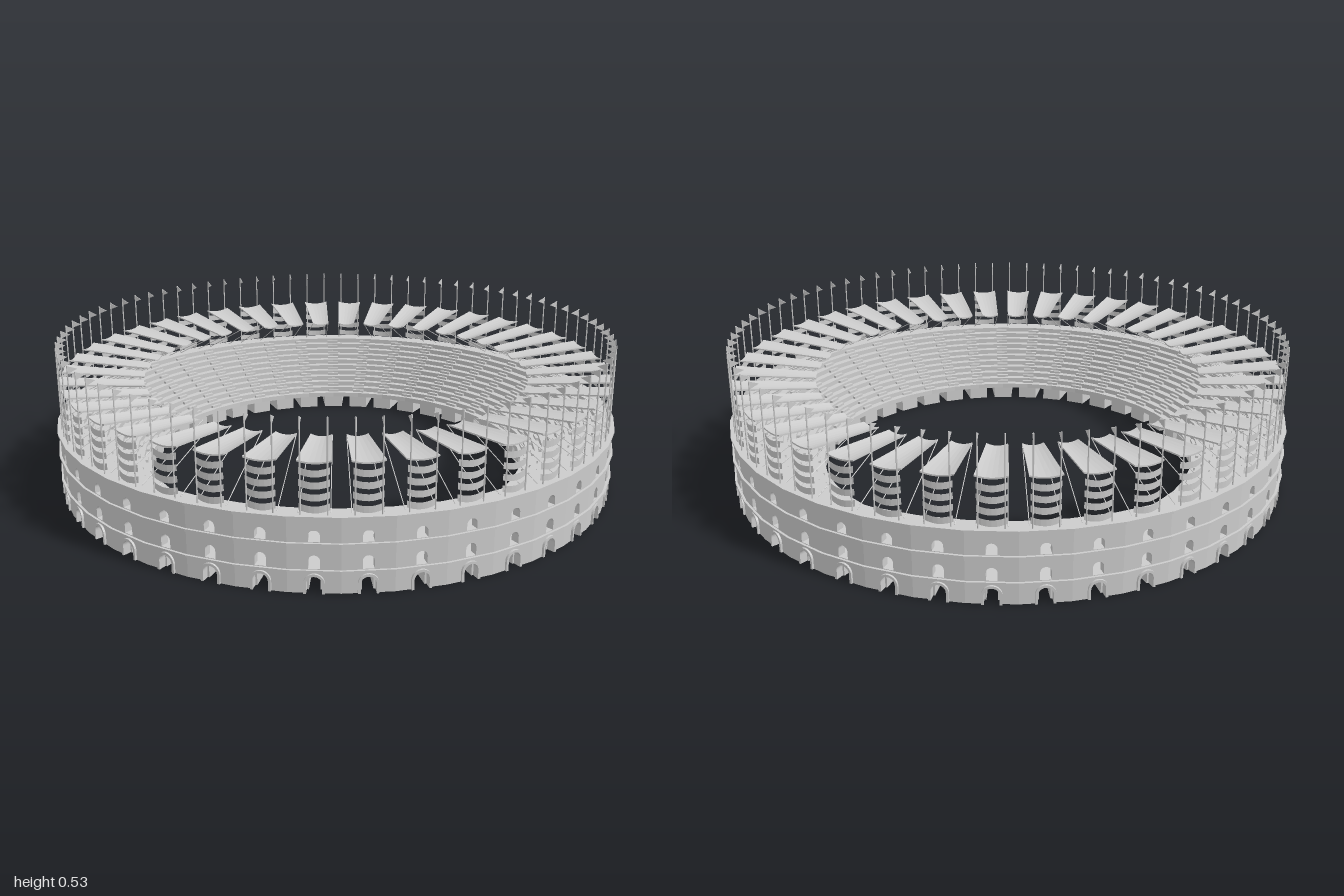
import * as THREE from 'three';
import { mergeGeometries } from 'three/addons/utils/BufferGeometryUtils.js';

const BAYS = 40;
const STEP = (Math.PI * 2) / BAYS;
const WALL_R = 0.987;   // distance of a facade panel from the centre
const WALL_H = 0.24;
const WALL_T = 0.03;
const INNER_R = 0.68;

// Outline of a round-headed opening, added to a shape or a path
function archOutline(path, w, y0, h) {
  const r = w / 2;
  path.moveTo(-r, y0);
  path.lineTo(r, y0);
  path.lineTo(r, y0 + h - r);
  path.absarc(0, y0 + h - r, r, 0, Math.PI, false);
  path.lineTo(-r, y0);
  return path;
}

// Extruded shape whose back face lies at z
function extrude(shape, depth, z) {
  return new THREE.ExtrudeGeometry(shape, { depth, bevelEnabled: false, curveSegments: 8 }).translate(0, 0, z);
}

function rod(a, b, r) {
  const dir = new THREE.Vector3().subVectors(b, a);
  const g = new THREE.CylinderGeometry(r, r, dir.length(), 5);
  g.applyQuaternion(new THREE.Quaternion().setFromUnitVectors(new THREE.Vector3(0, 1, 0), dir.normalize()));
  return g.translate((a.x + b.x) / 2, (a.y + b.y) / 2, (a.z + b.z) / 2);
}

// Move every vertex of a geometry by a rule
function warp(g, rule) {
  const p = g.attributes.position;
  const v = new THREE.Vector3();
  for (let i = 0; i < p.count; i++) {
    rule(v.fromBufferAttribute(p, i));
    p.setXYZ(i, v.x, v.y, v.z);
  }
  g.computeVertexNormals();
  return g;
}

export function createModel() {
  const model = new THREE.Group();
  const material = new THREE.MeshStandardMaterial({ color: 0xcccccc, flatShading: true, side: THREE.DoubleSide });

  function add(name, geometry) {
    const mesh = new THREE.Mesh(geometry, material);
    mesh.name = name;
    model.add(mesh);
  }

  // Repeat parts of one bay (outward is +z) all the way round
  function addRing(name, parts, offset, count = BAYS) {
    const bay = mergeGeometries(parts.map((g) => (g.index ? g.toNonIndexed() : g)));
    const copies = [];
    for (let i = 0; i < count; i++) {
      copies.push(bay.clone().rotateY(((i + offset) * Math.PI * 2) / count));
    }
    add(name, mergeGeometries(copies));
  }

  function addLathe(name, points) {
    add(name, new THREE.LatheGeometry(points.map(([r, y]) => new THREE.Vector2(r, y)), BAYS));
  }

  // Facade: one flat panel per bay with a doorway and two windows
  const half = WALL_R * Math.tan(STEP / 2);
  const door = { w: 0.046, h: 0.054 };
  const windows = [
    { w: 0.034, y: 0.076, h: 0.042 },
    { w: 0.034, y: 0.16, h: 0.036 },
  ];
  const panel = new THREE.Shape();
  panel.moveTo(-half, 0);
  panel.lineTo(-door.w / 2, 0);
  panel.lineTo(-door.w / 2, door.h - door.w / 2);
  panel.absarc(0, door.h - door.w / 2, door.w / 2, Math.PI, 0, true);
  panel.lineTo(door.w / 2, 0);
  panel.lineTo(half, 0);
  panel.lineTo(half, WALL_H);
  panel.lineTo(-half, WALL_H);
  for (const o of windows) panel.holes.push(archOutline(new THREE.Path(), o.w, o.y, o.h));
  addRing('facade', [extrude(panel, WALL_T, WALL_R - WALL_T)], 0.5);

  // Raised surround of each doorway
  const surround = new THREE.Shape();
  const ow = door.w / 2 + 0.008;
  surround.moveTo(-ow, 0);
  surround.lineTo(-door.w / 2, 0);
  surround.lineTo(-door.w / 2, door.h - door.w / 2);
  surround.absarc(0, door.h - door.w / 2, door.w / 2, Math.PI, 0, true);
  surround.lineTo(door.w / 2, 0);
  surround.lineTo(ow, 0);
  surround.lineTo(ow, door.h - door.w / 2);
  surround.absarc(0, door.h - door.w / 2, ow, 0, Math.PI, false);
  addRing('doorSurrounds', [extrude(surround, 0.007, WALL_R)], 0.5);

  // String courses and cornice
  for (const [name, y, h] of [['lowerCourse', 0.068, 0.006], ['upperCourse', 0.15, 0.008], ['cornice', 0.232, 0.008]]) {
    addLathe(name, [[0.98, y], [0.998, y], [0.998, y + h], [0.98, y + h]]);
  }

  // Ground blocks between the radial entrance tunnels
  const gap = 0.017;
  const slope = Math.tan(STEP / 2);
  const block = new THREE.Shape();
  const inHalf = INNER_R * slope - gap;
  const outHalf = 0.965 * slope - gap;
  block.moveTo(-inHalf, -INNER_R);
  block.lineTo(inHalf, -INNER_R);
  block.lineTo(outHalf, -0.965);
  block.lineTo(-outHalf, -0.965);
  addRing('groundBlocks', [extrude(block, 0.045, 0).rotateX(-Math.PI / 2)], 0);
  addLathe('tunnelCeiling', [[INNER_R, 0.045], [0.965, 0.045]]);

  // Stepped seating bowl, with half steps forming the aisles
  const TIERS = 11;
  const R_END = 0.96;
  const tread = (R_END - INNER_R) / TIERS;
  const rise = (WALL_H - 0.045) / TIERS;
  const profile = [[INNER_R, 0.045]];
  const steps = [];
  for (let i = 0; i < TIERS; i++) {
    const r = INNER_R + i * tread;
    const y = 0.045 + i * rise;
    profile.push([r, y + rise], [r + tread, y + rise]);
    if (i > 0) steps.push(new THREE.BoxGeometry(0.045, rise / 2, tread / 2).translate(0, y + rise / 4, r - tread / 4));
  }
  addLathe('seating', profile);
  addRing('aisleSteps', steps, 0);

  // Awnings: sagging tapered sheets sloping down to the arena
  const awning = warp(new THREE.BoxGeometry(1, 0.005, 1, 6, 1, 4), (v) => {
    const t = v.z + 0.5;
    const sag = 0.008 * (1 - 4 * v.x * v.x);
    v.set(v.x * (0.066 + 0.032 * t), v.y + 0.372 + 0.028 * t - sag, 0.69 + 0.285 * t);
  });
  addRing('awnings', [awning], 0.5);

  // Sagging bands hung between each pair of masts
  const bands = [0.262, 0.298, 0.334, 0.37].map((y) =>
    warp(new THREE.PlaneGeometry(0.088, 0.021, 6, 1), (v) => {
      const bow = 1 - (v.x / 0.044) ** 2;
      v.set(v.x, v.y + y - 0.007 * bow, 0.972 + 0.008 * bow);
    }));
  addRing('hangingBands', bands, 0.5);

  // Stay ropes from the wall top to the inner awning corners
  const ropes = [-1, 1].map((s) =>
    rod(new THREE.Vector3(s * 0.046, WALL_H, 0.965), new THREE.Vector3(s * 0.033, 0.372, 0.695), 0.0015));
  addRing('stayRopes', ropes, 0.5);

  // Masts with pennants pointing inward
  const mast = rod(new THREE.Vector3(0, WALL_H - 0.01, 0.98), new THREE.Vector3(0, 0.53, 0.98), 0.0025);
  addRing('masts', [mast], 0.5, BAYS * 2);
  const flag = new THREE.Shape();
  flag.moveTo(0, 0.503);
  flag.lineTo(0.032, 0.516);
  flag.lineTo(0, 0.529);
  const pennant = extrude(flag, 0.002, -0.001).rotateY(Math.PI / 2).translate(0, 0, 0.98);
  addRing('pennants', [pennant], 0.5, BAYS * 2);

  return model;
}
